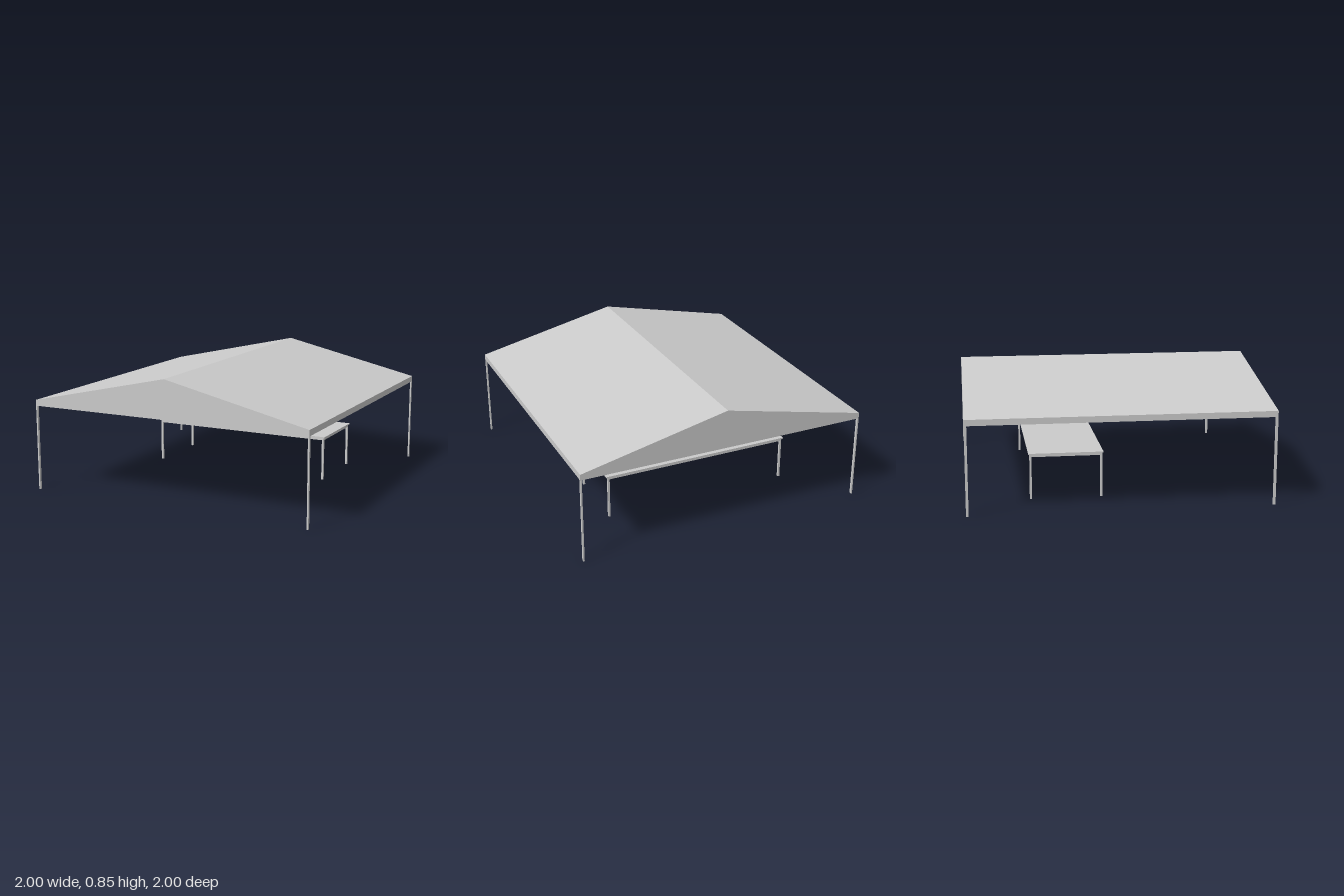
import * as THREE from 'three';

const material = new THREE.MeshStandardMaterial({ color: 0xcccccc, flatShading: true });

const EAVE = 0.625, RIDGE = 0.85, SILL = 0.585;

// Box given by its lower and upper corner
function bar(parent, name, [x0, y0, z0], [x1, y1, z1]) {
  const mesh = new THREE.Mesh(new THREE.BoxGeometry(x1 - x0, y1 - y0, z1 - z0), material);
  mesh.position.set((x0 + x1) / 2, (y0 + y1) / 2, (z0 + z1) / 2);
  mesh.name = name;
  parent.add(mesh);
}

// Outline in x/y extruded along z
function prism(parent, name, points, z0, z1) {
  const shape = new THREE.Shape(points.map(([x, y]) => new THREE.Vector2(x, y)));
  const geometry = new THREE.ExtrudeGeometry(shape, { depth: z1 - z0, bevelEnabled: false });
  geometry.translate(0, 0, z0);
  const mesh = new THREE.Mesh(geometry, material);
  mesh.name = name;
  parent.add(mesh);
}

function createCanopy() {
  const canopy = new THREE.Group();
  canopy.name = 'canopy';
  const t = 0.006;

  // Thin pitched roof cover
  prism(canopy, 'roofCover', [
    [-1, EAVE - t], [0, RIDGE - t], [1, EAVE - t], [1, EAVE], [0, RIDGE], [-1, EAVE],
  ], -1, 1);

  // Triangular end panels
  const gable = [[-1, SILL], [1, SILL], [1, EAVE - t], [0, RIDGE - t], [-1, EAVE - t]];
  prism(canopy, 'frontGable', gable, 1 - t, 1);
  prism(canopy, 'backGable', gable, -1, -1 + t);

  // Ridge beam under the peak
  bar(canopy, 'ridgeBeam', [-0.01, RIDGE - 0.03, -0.994], [0.01, RIDGE - 0.008, 0.994]);

  for (const s of [-1, 1]) {
    const side = s < 0 ? 'right' : 'left';
    const x0 = s < 0 ? -1 : 0.99;
    // Eave beam along each side
    bar(canopy, side + 'EaveBeam', [x0, SILL, -0.994], [x0 + 0.01, EAVE - t, 0.994]);
    // Tie beam across each end
    const zTie = s < 0 ? -0.994 : 0.98;
    bar(canopy, s < 0 ? 'backTieBeam' : 'frontTieBeam',
      [-0.99, SILL, zTie], [0.99, SILL + 0.02, zTie + 0.014]);
    // Corner posts
    for (const z0 of [-1, 0.983]) {
      bar(canopy, side + (z0 < 0 ? 'BackPost' : 'FrontPost'),
        [x0, 0, z0], [x0 + 0.01, SILL, z0 + 0.017]);
    }
  }
  return canopy;
}

function createTable() {
  const table = new THREE.Group();
  table.name = 'table';
  const xs = [-0.664, 0.641], zs = [-0.576, -0.106], w = 0.014;

  bar(table, 'tableTop', [-0.673, 0.302, -0.583], [0.664, 0.31, -0.085]);

  // Rails below the top
  zs.forEach((z, i) => bar(table, i ? 'frontRail' : 'backRail',
    [xs[0], 0.285, z], [xs[1] + w, 0.302, z + w]));
  xs.forEach((x, i) => bar(table, i ? 'leftRail' : 'rightRail',
    [x, 0.285, zs[0] + w], [x + w, 0.302, zs[1]]));

  // Four legs
  for (const x of xs) for (const z of zs) {
    bar(table, 'tableLeg', [x, 0, z], [x + w, 0.285, z + w]);
  }
  return table;
}

export function createModel() {
  const model = new THREE.Group();
  model.name = 'marketStall';
  model.add(createCanopy(), createTable());
  return model;
}
